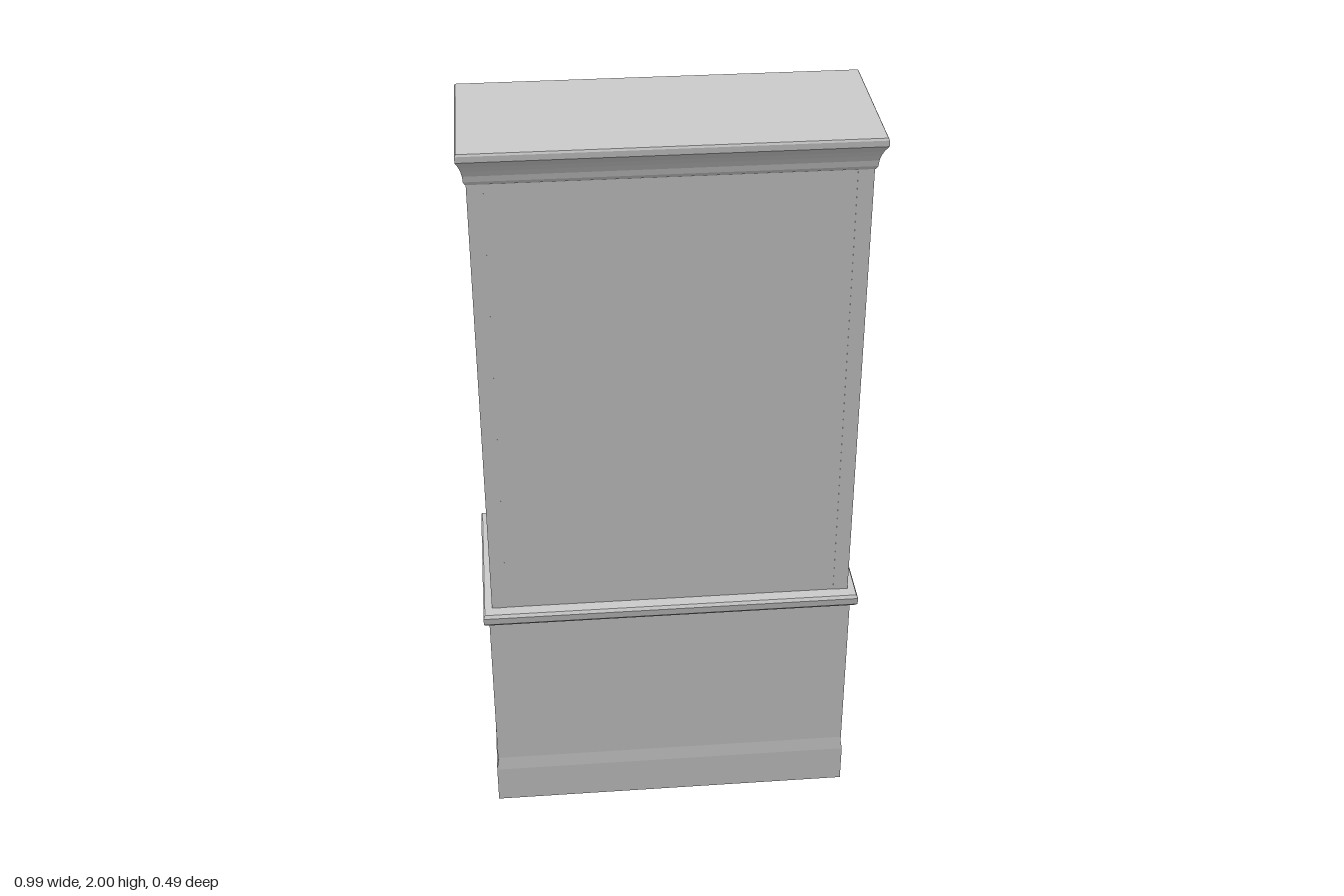
import * as THREE from 'three';

const material = new THREE.MeshStandardMaterial({ color: 0xcccccc });

function add(parent, name, geometry, x = 0, y = 0, z = 0) {
  const mesh = new THREE.Mesh(geometry, material);
  mesh.name = name;
  mesh.position.set(x, y, z);
  parent.add(mesh);
  return mesh;
}

// Box given by its bounds
function board(parent, name, x0, x1, y0, y1, z0, z1) {
  return add(parent, name, new THREE.BoxGeometry(x1 - x0, y1 - y0, z1 - z0),
    (x0 + x1) / 2, (y0 + y1) / 2, (z0 + z1) / 2);
}

// Mitred moulding: stacked rectangles [y, halfWidth, zMin, zMax], bottom to top
function moulding(sections) {
  const rings = sections.map(([y, w, a, b]) =>
    [[-w, y, b], [w, y, b], [w, y, a], [-w, y, a]]);
  const pos = [];
  const quad = (a, b, c, d) => pos.push(...a, ...b, ...c, ...a, ...c, ...d);
  for (let i = 0; i < rings.length - 1; i++) {
    const lo = rings[i], hi = rings[i + 1];
    for (let j = 0; j < 4; j++) {
      const k = (j + 1) % 4;
      quad(lo[j], lo[k], hi[k], hi[j]);
    }
  }
  const bottom = rings[0], top = rings[rings.length - 1];
  quad(...top);
  quad(bottom[3], bottom[2], bottom[1], bottom[0]);
  const geometry = new THREE.BufferGeometry();
  geometry.setAttribute('position', new THREE.Float32BufferAttribute(pos, 3));
  geometry.computeVertexNormals();
  return geometry;
}

// Rectangular frame with openings [x0, x1, y0, y1]
function frame(x0, x1, y0, y1, depth, openings) {
  const rect = (path, [a, b, c, d]) =>
    path.moveTo(a, c).lineTo(b, c).lineTo(b, d).lineTo(a, d).closePath();
  const shape = rect(new THREE.Shape(), [x0, x1, y0, y1]);
  for (const o of openings) shape.holes.push(rect(new THREE.Path(), o));
  return new THREE.ExtrudeGeometry(shape, { depth, bevelEnabled: false });
}

export function createModel() {
  const model = new THREE.Group();
  model.name = 'dresser';
  const columns = [-0.3, 0, 0.3];

  // Lower cupboard with its spreading plinth
  const cupboard = new THREE.Group();
  cupboard.name = 'cupboard';
  model.add(cupboard);
  add(cupboard, 'plinth', moulding([
    [0, 0.487, -0.23, 0.204], [0.11, 0.487, -0.23, 0.204],
    [0.13, 0.484, -0.222, 0.202], [0.15, 0.48, -0.205, 0.2]]));
  board(cupboard, 'carcass', -0.483, 0.483, 0.14, 0.64, -0.19, 0.2);
  add(cupboard, 'faceFrame', frame(-0.483, 0.483, 0.14, 0.64, 0.015,
    columns.map(x => [x - 0.14, x + 0.14, 0.165, 0.61])), 0, 0, -0.205);

  // Three panelled doors
  columns.forEach((x, i) => {
    const door = new THREE.Group();
    door.name = 'door' + (i + 1);
    door.position.x = x;
    cupboard.add(door);
    add(door, 'doorFrame', frame(-0.136, 0.136, 0.169, 0.606, 0.022,
      [[-0.103, 0.103, 0.207, 0.565]]), 0, 0, -0.212);
    add(door, 'panelBead', frame(-0.103, 0.103, 0.207, 0.565, 0.014,
      [[-0.093, 0.093, 0.217, 0.555]]), 0, 0, -0.204);
    board(door, 'doorPanel', -0.1, 0.1, 0.21, 0.56, -0.195, -0.19);
    const knob = add(door, 'knob', new THREE.SphereGeometry(0.009, 10, 8),
      i === 0 ? 0.12 : -0.12, 0.4, -0.218);
    knob.scale.z = 0.8;
  });

  // Counter with a stepped, moulded edge
  add(model, 'counter', moulding([
    [0.63, 0.484, -0.212, 0.202], [0.638, 0.49, -0.23, 0.222],
    [0.65, 0.497, -0.241, 0.234], [0.67, 0.497, -0.245, 0.236],
    [0.678, 0.493, -0.238, 0.23]]));

  // Open bookcase
  const bookcase = new THREE.Group();
  bookcase.name = 'bookcase';
  model.add(bookcase);
  for (const s of [-1, 1]) {
    const a = s * 0.435, b = s * 0.474;
    board(bookcase, s > 0 ? 'leftSide' : 'rightSide',
      Math.min(a, b), Math.max(a, b), 0.678, 1.92, -0.095, 0.2);
  }
  board(bookcase, 'backBoard', -0.436, 0.436, 0.678, 1.92, 0.185, 0.199);
  board(bookcase, 'ceiling', -0.436, 0.436, 1.85, 1.92, -0.09, 0.19);
  add(bookcase, 'frontFrame', frame(-0.474, 0.474, 0.678, 1.92, 0.012,
    [[-0.428, 0.428, 0.679, 1.85]]), 0, 0, -0.102);

  // Shelves, and a framed back panel in each bay above them
  const levels = [0.678, 0.94, 1.215, 1.49, 1.85];
  for (let i = 0; i < 4; i++) {
    const y0 = levels[i], y1 = levels[i + 1] - (i < 3 ? 0.045 : 0);
    if (i) board(bookcase, 'shelf' + i, -0.436, 0.436, y0 - 0.045, y0, -0.088, 0.186);
    add(bookcase, 'backFrame' + (i + 1), frame(-0.435, 0.435, y0, y1, 0.02,
      columns.map(x => [x - 0.1, x + 0.1, y0 + 0.025, y1 - 0.025])), 0, 0, 0.166);
  }

  // Cornice flaring out to a flat top
  add(model, 'cornice', moulding([
    [1.905, 0.476, -0.104, 0.202], [1.915, 0.48, -0.115, 0.208],
    [1.93, 0.481, -0.118, 0.21], [1.945, 0.484, -0.127, 0.216],
    [1.96, 0.488, -0.142, 0.226], [1.975, 0.493, -0.16, 0.24],
    [1.98, 0.495, -0.166, 0.245], [1.995, 0.495, -0.166, 0.245],
    [2, 0.492, -0.163, 0.242]]));

  return model;
}
